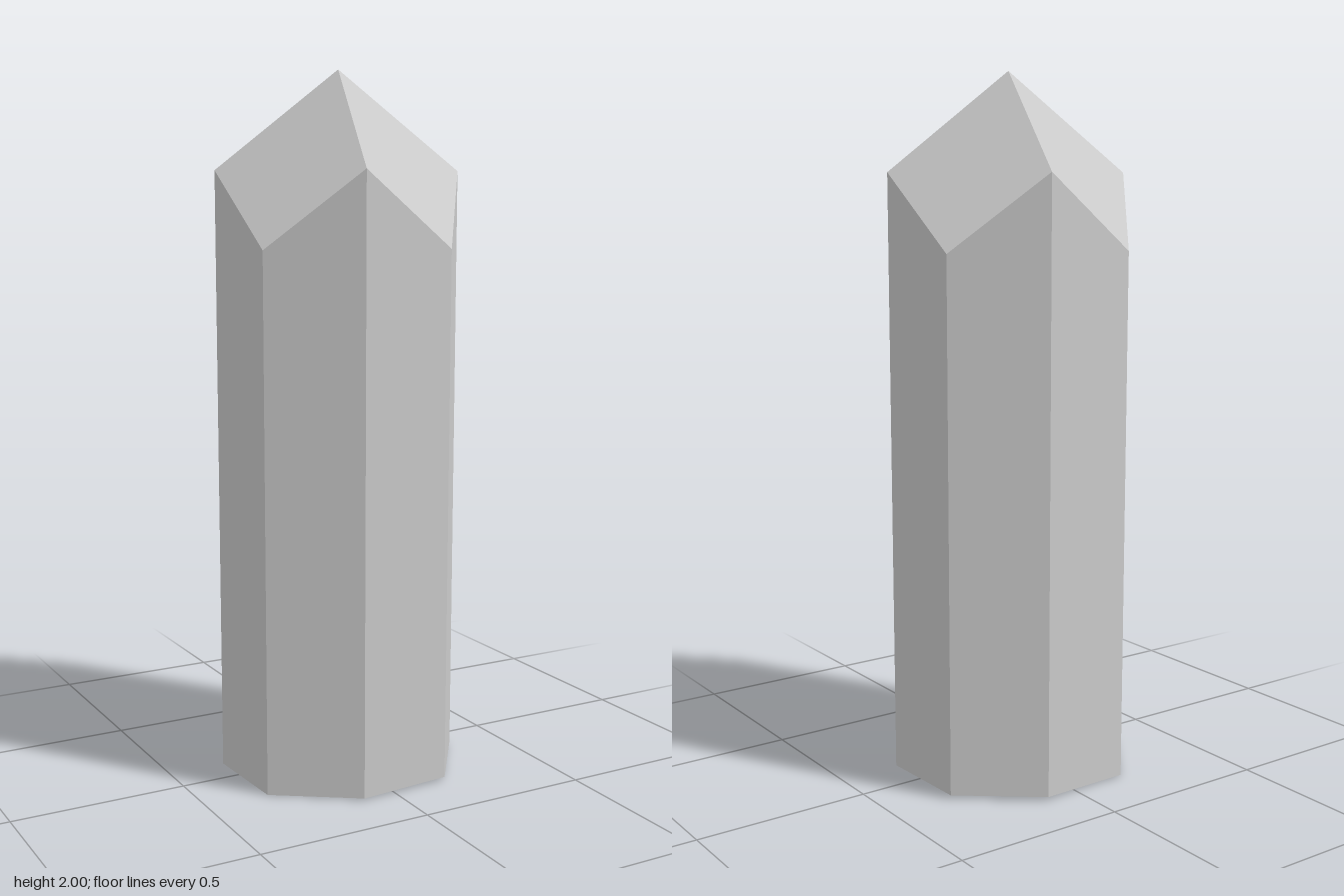
import * as THREE from 'three';

const material = new THREE.MeshStandardMaterial({ color: 0xcccccc });

// Mesh made of polygon facets, each fanned from its first corner and given one flat normal
function facetMesh(name, facets) {
  const positions = [], normals = [];
  for (const f of facets) {
    const n = new THREE.Vector3();
    for (let i = 1; i < f.length - 1; i++) {
      const e1 = f[i].clone().sub(f[0]);
      const e2 = f[i + 1].clone().sub(f[0]);
      n.add(e1.cross(e2));
    }
    n.normalize();
    for (let i = 1; i < f.length - 1; i++) {
      for (const p of [f[0], f[i], f[i + 1]]) {
        positions.push(p.x, p.y, p.z);
        normals.push(n.x, n.y, n.z);
      }
    }
  }
  const geometry = new THREE.BufferGeometry();
  geometry.setAttribute('position', new THREE.Float32BufferAttribute(positions, 3));
  geometry.setAttribute('normal', new THREE.Float32BufferAttribute(normals, 3));
  const mesh = new THREE.Mesh(geometry, material);
  mesh.name = name;
  return mesh;
}

export function createModel() {
  const group = new THREE.Group();
  group.name = 'crystal';

  // Eight corners, alternating high ridge ends and low facet tips
  const apex = new THREE.Vector3(0, 2, 0);
  const top = [], bottom = [];
  for (let i = 0; i < 8; i++) {
    const high = i % 2 === 0;
    const radius = high ? 0.35 : 0.366;
    const angle = THREE.MathUtils.degToRad((high ? 16.6 : 61.7) + 90 * Math.floor(i / 2));
    const x = radius * Math.cos(angle), z = radius * Math.sin(angle);
    top.push(new THREE.Vector3(x, high ? 1.722 : 1.51, z));
    // The base is cut at a very slight slant
    bottom.push(new THREE.Vector3(x * 0.99, 0.006 + 0.018 * x, z * 0.99));
  }

  // Column sides and base
  const sides = top.map((t, i) => {
    const j = (i + 1) % 8;
    return [bottom[i], t, top[j], bottom[j]];
  });
  group.add(facetMesh('column', sides));
  group.add(facetMesh('base', [bottom]));

  // Four kite-shaped facets meeting at the point
  const kites = [0, 2, 4, 6].map((i) => [top[i], apex, top[(i + 2) % 8], top[i + 1]]);
  group.add(facetMesh('tip', kites));

  return group;
}
